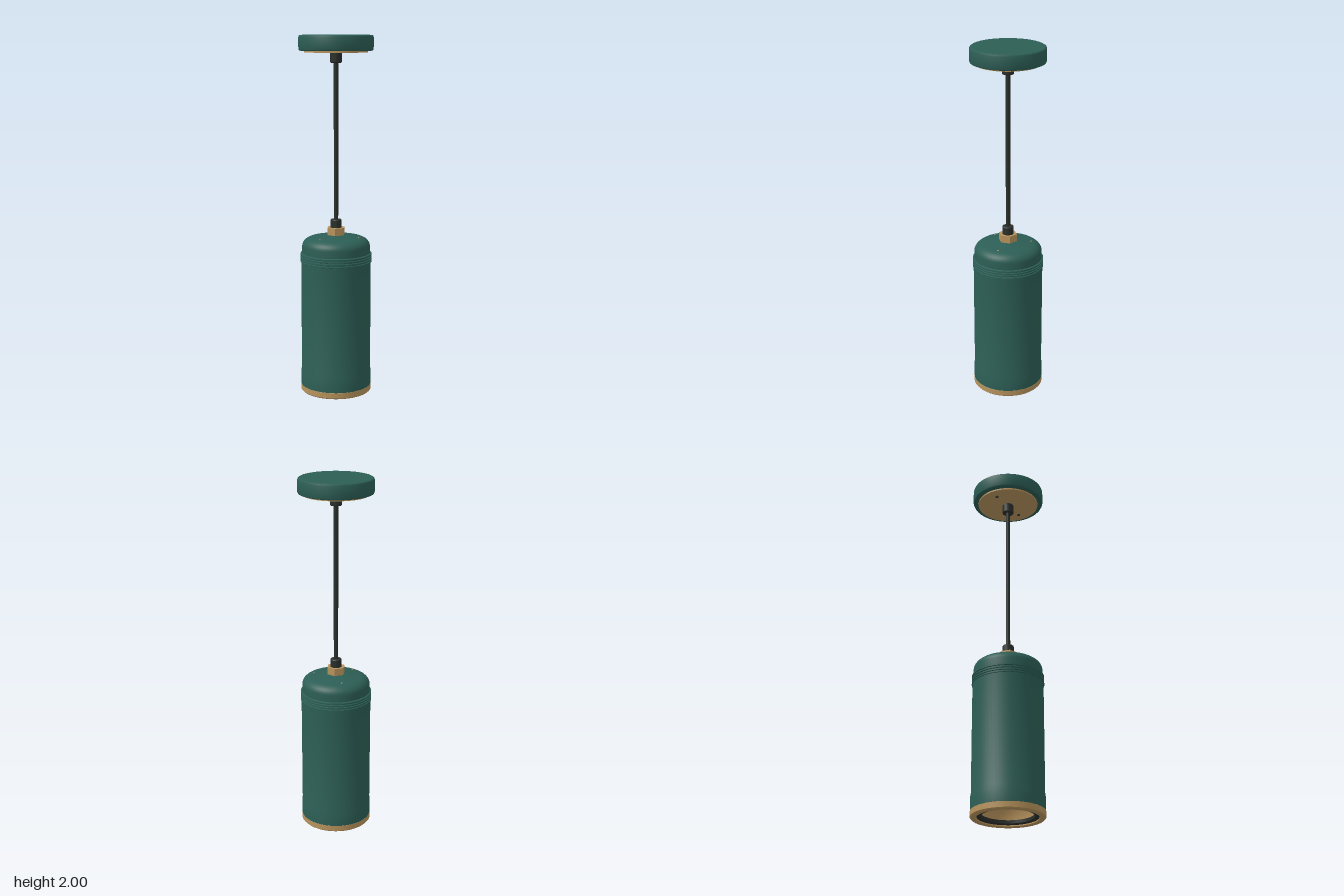
import * as THREE from 'three';
import { toCreasedNormals } from 'three/addons/utils/BufferGeometryUtils.js';

const paint = (name, color) => Object.assign(new THREE.MeshStandardMaterial({ color }), { name });

export function createModel() {
  const lamp = new THREE.Group();
  lamp.name = 'pendantLamp';
  const green = paint('greenEnamel', 0x2c5e55);
  const brass = paint('brass', 0xb8935c);
  const black = paint('blackRubber', 0x2a2f2b);

  const add = (name, geometry, material, x = 0, y = 0, z = 0) => {
    const mesh = new THREE.Mesh(geometry, material);
    mesh.name = name;
    mesh.position.set(x, y, z);
    lamp.add(mesh);
    return mesh;
  };
  // Turned part: profile of [radius, height], upwards on the outside
  const turn = (name, material, profile, sides = 64) => {
    const points = profile.map(([r, y]) => new THREE.Vector2(r, y));
    return add(name, toCreasedNormals(new THREE.LatheGeometry(points, sides), 0.5), material);
  };
  const rod = (name, material, r, y0, y1, x = 0, z = 0, sides = 24) =>
    add(name, new THREE.CylinderGeometry(r, r, y1 - y0, sides), material, x, (y0 + y1) / 2, z);

  // Ceiling canopy with its cover plate and two screws
  turn('canopy', green, [[0, 1.915], [0.195, 1.915], [0.202, 1.918], [0.205, 1.925],
    [0.205, 1.988], [0.202, 1.996], [0.195, 2], [0, 2]]);
  rod('canopyPlate', brass, 0.175, 1.906, 1.918, 0, 0, 64);
  for (const side of [-1, 1]) rod('canopyScrew', black, 0.009, 1.902, 1.908, side * 0.118, 0, 12);

  // Cord with a grip at each end
  rod('cord', black, 0.0125, 0.94, 1.91, 0, 0, 20);
  const grip = (name, y0, y1) => {
    const c = 0.004, r = 0.032;
    turn(name, black, [[0, y0], [r - c, y0], [r, y0 + c], [r, y1 - c], [r - c, y1], [0, y1]], 24);
  };
  grip('upperCordGrip', 1.85, 1.907);
  grip('lowerCordGrip', 0.935, 0.985);

  // Hexagonal nut on the dome
  const nut = add('hexNut', toCreasedNormals(new THREE.CylinderGeometry(0.052, 0.052, 0.045, 6), 0.5),
    brass, 0, 0.917, 0);
  nut.rotation.y = Math.PI / 12;

  // Domed cap
  const dome = [[0.19, 0.795], [0.19, 0.835]];
  for (let i = 1; i <= 8; i++) {
    const a = (i / 8) * Math.PI / 2;
    dome.push([0.125 + 0.065 * Math.cos(a), 0.835 + 0.05 * Math.sin(a)]);
  }
  dome.push([0.09, 0.893], [0.05, 0.898], [0, 0.899]);
  turn('domeCap', green, dome);
  for (let i = 0; i < 3; i++) {
    const a = (112 + 120 * i) * Math.PI / 180;
    rod('domeScrew', brass, 0.005, 0.875, 0.887, 0.13 * Math.cos(a), 0.13 * Math.sin(a), 10);
  }

  // Ridged collar
  const collar = [[0.188, 0.743]];
  for (let i = 0; i < 4; i++) {
    const y = 0.744 + i * 0.0135;
    collar.push([0.194, y], [0.199, y + 0.002], [0.199, y + 0.009], [0.194, y + 0.011]);
  }
  collar.push([0.188, 0.798]);
  turn('ridgedCollar', green, collar);

  // Cylindrical shade, slightly wider at the foot
  turn('shade', green, [[0.17, 0.036], [0.198, 0.036], [0.198, 0.115], [0.195, 0.125],
    [0.195, 0.745], [0.18, 0.75]]);

  // Brass rim, dark baffle ring and reflector bowl
  turn('bottomRim', brass, [[0.165, 0.03], [0.165, 0.003], [0.168, 0], [0.193, 0], [0.199, 0.006],
    [0.199, 0.036], [0.194, 0.04], [0.17, 0.04]]);
  turn('baffleRing', black, [[0.14, 0.035], [0.14, 0.012], [0.143, 0.009], [0.166, 0.009]]);
  const bowl = [];
  for (let i = 0; i <= 10; i++) {
    const a = (i / 10) * Math.PI / 2;
    bowl.push([0.141 * Math.sin(a), 0.014 + 0.17 * Math.cos(a)]);
  }
  turn('reflector', brass, bowl);
  return lamp;
}
